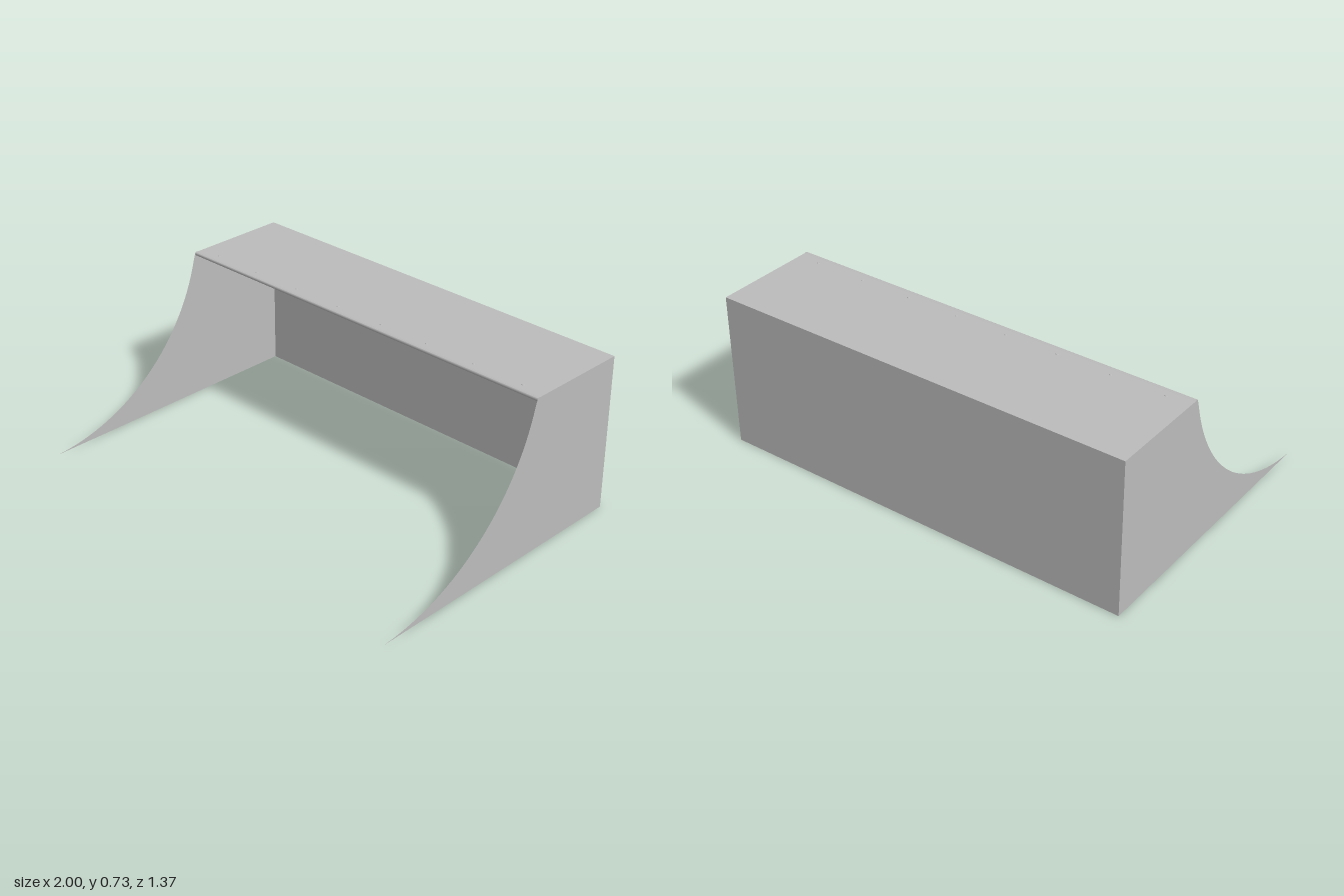
import * as THREE from 'three';

export function createModel() {
  const ramp = new THREE.Group();
  ramp.name = 'quarterPipe';
  const grey = new THREE.MeshStandardMaterial({ color: 0xbcbcbc, side: THREE.DoubleSide });
  grey.name = 'grey';

  const H = 0.725, BACK = -0.684, LIP = -0.182, TOE = 0.684;

  const add = (name, geometry, x, y, z) => {
    const mesh = new THREE.Mesh(geometry, grey);
    mesh.name = name;
    mesh.position.set(x, y, z);
    ramp.add(mesh);
    return mesh;
  };

  // Side profile (z, y): straight back and deck, concave arc down to the toe
  const cz = 0.7175, cy = 0.9165, r = 0.917;
  const a0 = Math.atan2(H - cy, LIP - cz) + Math.PI * 2;
  const a1 = Math.atan2(-cy, TOE - cz) + Math.PI * 2;
  const profile = new THREE.Shape();
  profile.moveTo(BACK, 0);
  profile.lineTo(BACK, H);
  profile.lineTo(LIP, H);
  for (let i = 1; i < 32; i++) {
    const a = a0 + (a1 - a0) * i / 32;
    profile.lineTo(cz + r * Math.cos(a), cy + r * Math.sin(a));
  }
  profile.lineTo(TOE, 0);

  // Sheet side walls, mirrored
  for (const s of [-1, 1]) {
    const wall = new THREE.ShapeGeometry(profile);
    wall.rotateY(-Math.PI / 2); // shape x becomes z
    add(s > 0 ? 'leftWall' : 'rightWall', wall, s, 0, 0);
  }

  // Back wall and deck
  add('backWall', new THREE.PlaneGeometry(2, H).rotateY(Math.PI), 0, H / 2, BACK);
  add('deck', new THREE.PlaneGeometry(2, LIP - BACK).rotateX(-Math.PI / 2),
    0, H, (LIP + BACK) / 2);

  // Coping tube along the lip
  add('coping', new THREE.CylinderGeometry(0.01, 0.01, 2, 16).rotateZ(Math.PI / 2),
    0, H - 0.008, LIP - 0.009);

  // Row of screw heads behind the coping
  for (let i = 0; i < 8; i++) {
    add('screw', new THREE.CylinderGeometry(0.005, 0.007, 0.003, 10),
      -0.889 + i * 0.254, H + 0.0012, -0.23);
  }
  return ramp;
}
